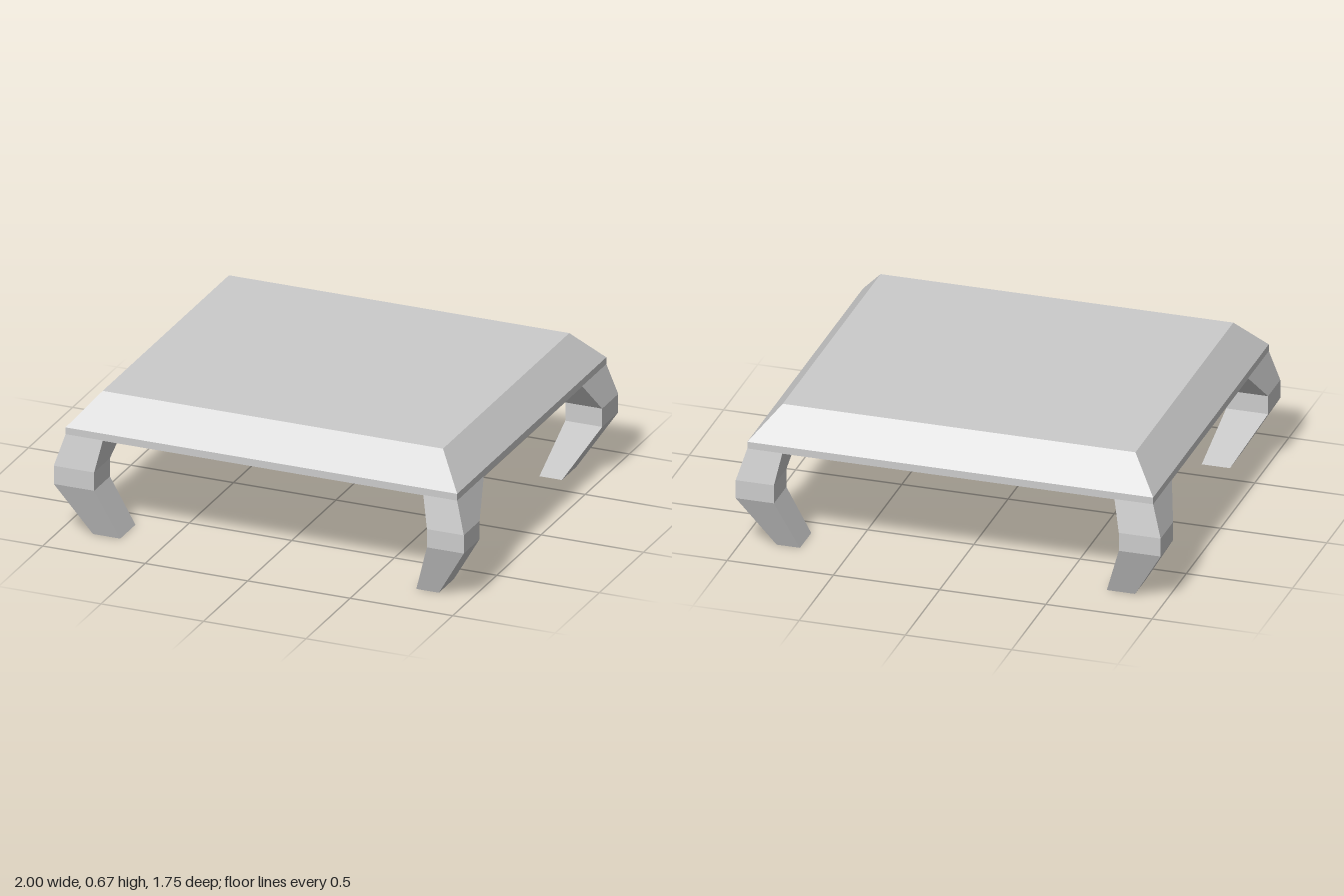
import * as THREE from 'three';

const material = new THREE.MeshStandardMaterial({ color: 0xcccccc, flatShading: true });

// Closed solid through rectangular sections [y, xMin, xMax, zMin, zMax], bottom to top
function loft(name, sections) {
  const pos = [];
  const rings = sections.map(([y, x0, x1, z0, z1]) =>
    [[x0, y, z1], [x1, y, z1], [x1, y, z0], [x0, y, z0]]);
  const quad = (a, b, c, d) => pos.push(...a, ...b, ...c, ...a, ...c, ...d);
  for (let i = 0; i < rings.length - 1; i++) {
    const lo = rings[i], hi = rings[i + 1];
    for (let k = 0; k < 4; k++) {
      const n = (k + 1) % 4;
      quad(lo[k], lo[n], hi[n], hi[k]);
    }
  }
  const [a, b, c, d] = rings[0];
  quad(d, c, b, a);
  quad(...rings[rings.length - 1]);
  const geometry = new THREE.BufferGeometry();
  geometry.setAttribute('position', new THREE.Float32BufferAttribute(pos, 3));
  geometry.computeVertexNormals();
  const mesh = new THREE.Mesh(geometry, material);
  mesh.name = name;
  return mesh;
}

// Leg levels (foot, lower knee, upper knee, shoulder) and their inner/outer limits per side
const levels = [0, 0.253, 0.342, 0.492];
const xLimits = {
  left: [[0.73, 0.84], [0.82, 1], [0.82, 1], [0.79, 0.955]],
  right: [[-0.847, -0.714], [-1, -0.803], [-1, -0.803], [-0.955, -0.773]],
};
const zLimits = {
  front: [[0.613, 0.785], [0.695, 0.874], [0.695, 0.874], [0.543, 0.845]],
  back: [[-0.773, -0.609], [-0.875, -0.693], [-0.875, -0.693], [-0.845, -0.571]],
};

export function createModel() {
  const group = new THREE.Group();
  group.name = 'lowTable';

  // Table top: thin straight rim, then a wide bevel up to the flat surface
  group.add(loft('tableTop', [
    [0.49, -0.955, 0.955, -0.845, 0.845],
    [0.525, -0.955, 0.955, -0.845, 0.845],
    [0.673, -0.83, 0.83, -0.715, 0.715],
  ]));

  // Four bowed legs
  for (const [fb, zs] of Object.entries(zLimits))
    for (const [lr, xs] of Object.entries(xLimits)) {
      const name = fb + lr[0].toUpperCase() + lr.slice(1) + 'Leg';
      group.add(loft(name, levels.map((y, i) => [y, ...xs[i], ...zs[i]])));
    }
  return group;
}
